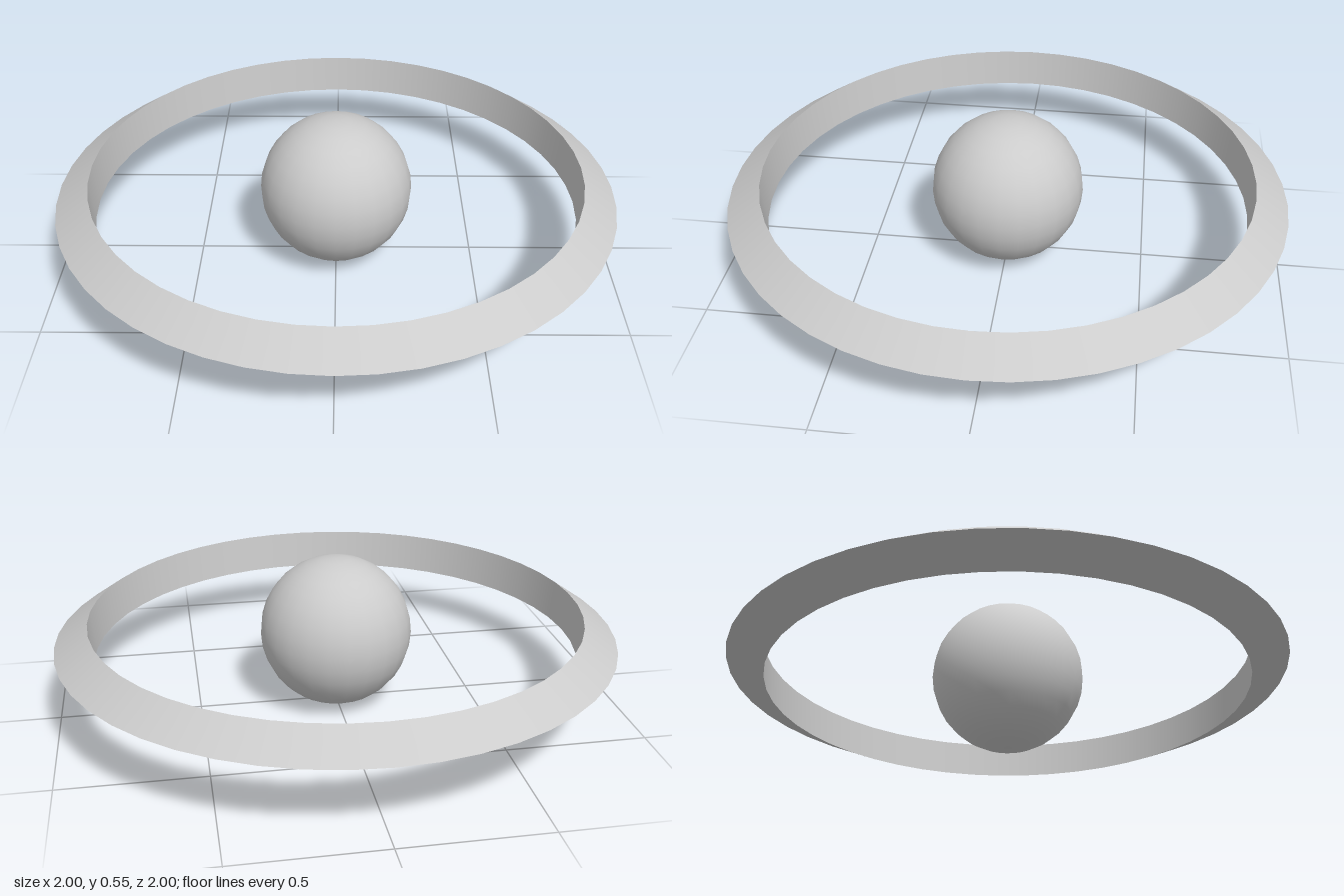
import * as THREE from 'three';
import { mergeGeometries } from 'three/addons/utils/BufferGeometryUtils.js';

export function createModel() {
  const model = new THREE.Group();
  model.name = 'ringedSphere';
  const material = new THREE.MeshStandardMaterial({ color: 0xcccccc });

  // Central ball
  const radius = 0.273;
  const ball = new THREE.Mesh(new THREE.SphereGeometry(radius, 24, 16), material);
  ball.name = 'ball';
  ball.position.y = radius;
  model.add(ball);

  // Ring of triangular section: one lathe per side keeps its three rims sharp
  const section = [
    new THREE.Vector2(0.866, 0.21), // lower inner rim
    new THREE.Vector2(1, 0.272), // outer rim
    new THREE.Vector2(0.88, 0.355), // upper inner rim
  ];
  const sides = section.map((point, i) =>
    new THREE.LatheGeometry([point, section[(i + 1) % section.length]], 48));
  const ring = new THREE.Mesh(mergeGeometries(sides), material);
  ring.name = 'ring';
  model.add(ring);

  return model;
}
